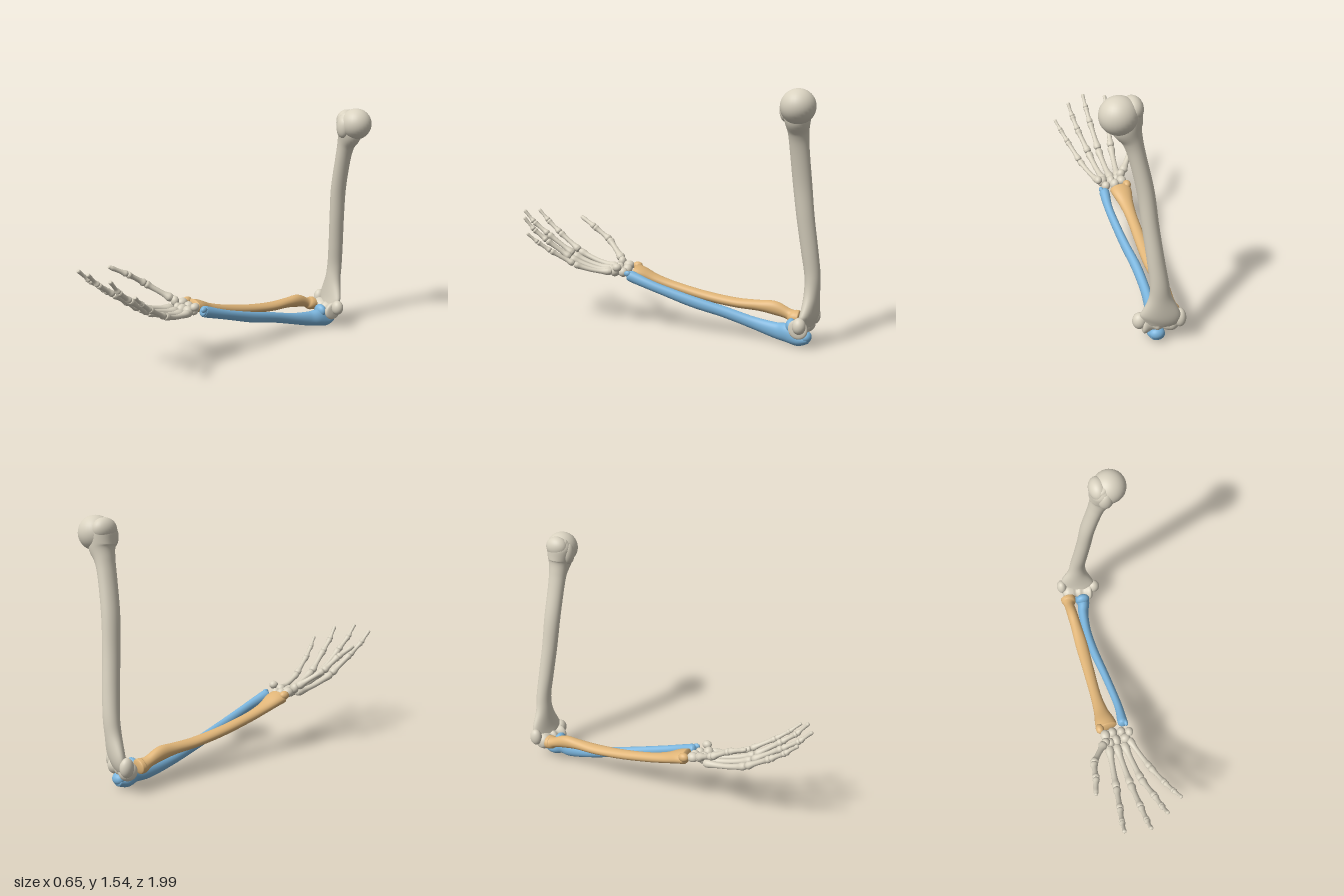
import * as THREE from 'three';

const V = (x, y, z) => new THREE.Vector3(x, y, z);

function material(name, color) {
  const m = new THREE.MeshStandardMaterial({ color });
  m.name = name;
  return m;
}

// Smooth loft through sections [x, y, z, halfWidth, halfDepth, roll], with domed ends
function loft(sections, ref, steps, sides, dome = 0.4) {
  const path = new THREE.CatmullRomCurve3(sections.map(s => V(s[0], s[1], s[2])), false, 'catmullrom');
  const size = new THREE.CatmullRomCurve3(sections.map(s => V(s[3], s[4], s[5] || 0)), false, 'catmullrom');
  const rings = [];
  const addRing = (u, shrink, push) => {
    const t = path.getTangent(u);
    const side = V().crossVectors(ref, t).normalize();
    const up = V().crossVectors(t, side);
    const s = size.getPoint(u);
    const c = path.getPoint(u).addScaledVector(t, push * dome * Math.min(s.x, s.y));
    rings.push({ c, side, up, a: s.x * shrink, b: s.y * shrink, roll: s.z });
  };
  const arc = [0.001, 0.35, 0.65, 0.87, 0.97];
  arc.forEach(r => addRing(0, r, -Math.sqrt(1 - r * r)));
  for (let i = 0; i <= steps; i++) addRing(i / steps, 1, 0);
  arc.slice().reverse().forEach(r => addRing(1, r, Math.sqrt(1 - r * r)));

  const pos = [], index = [];
  rings.forEach(({ c, side, up, a, b, roll }, i) => {
    const sx = side.clone().multiplyScalar(Math.cos(roll)).addScaledVector(up, Math.sin(roll));
    const sy = up.clone().multiplyScalar(Math.cos(roll)).addScaledVector(side, -Math.sin(roll));
    for (let j = 0; j < sides; j++) {
      const w = j / sides * Math.PI * 2;
      const p = c.clone().addScaledVector(sx, a * Math.cos(w)).addScaledVector(sy, b * Math.sin(w));
      pos.push(p.x, p.y, p.z);
      if (i < rings.length - 1) {
        const k = i * sides + j, n = i * sides + (j + 1) % sides;
        index.push(k, n, k + sides, n, n + sides, k + sides);
      }
    }
  });
  const g = new THREE.BufferGeometry();
  g.setAttribute('position', new THREE.Float32BufferAttribute(pos, 3));
  g.setIndex(index);
  g.computeVertexNormals();
  return g;
}

export function createModel() {
  const bone = material('ivory bone', 0xd9d2c0);
  const tan = material('tan bone', 0xe0b578);
  const blue = material('blue bone', 0x7ab4dc);
  const root = new THREE.Group();
  root.name = 'armSkeleton';
  const group = name => {
    const g = new THREE.Group();
    g.name = name;
    root.add(g);
    return g;
  };
  const add = (parent, name, geo, mat) => {
    const m = new THREE.Mesh(geo, mat);
    m.name = name;
    parent.add(m);
    return m;
  };
  const sphere = new THREE.SphereGeometry(1, 28, 20);
  const ball = (parent, name, mat, [x, y, z], [rx, ry, rz], tilt = 0) => {
    const m = add(parent, name, sphere, mat);
    m.position.set(x, y, z);
    m.scale.set(rx, ry, rz);
    m.rotation.z = tilt;
  };
  const Y = V(0, 1, 0), Z = V(0, 0, 1);

  // Upper arm bone: shaft flaring into a flat, turned lower end
  const upper = group('upperArm');
  add(upper, 'upperArmShaft', loft([
    [-0.005, 0.15, -0.915, 0.105, 0.035, -0.26],
    [-0.008, 0.22, -0.935, 0.112, 0.042, -0.26],
    [0.0, 0.34, -0.945, 0.065, 0.045, -0.2],
    [0.01, 0.45, -0.947, 0.052, 0.047, -0.1],
    [0.03, 0.6, -0.93, 0.048, 0.05],
    [0.055, 0.8, -0.905, 0.046, 0.052],
    [0.079, 1.0, -0.886, 0.046, 0.055],
    [0.122, 1.2, -0.872, 0.046, 0.056],
    [0.149, 1.3, -0.868, 0.055, 0.06],
    [0.178, 1.38, -0.866, 0.082, 0.075],
    [0.168, 1.46, -0.86, 0.072, 0.082],
    [0.158, 1.5, -0.86, 0.055, 0.062],
  ], Z, 80, 32), bone);
  ball(upper, 'shoulderHead', bone, [0.222, 1.446, -0.875], [0.102, 0.1, 0.1]);
  ball(upper, 'greaterTubercle', bone, [0.15, 1.47, -0.865], [0.056, 0.066, 0.075]);
  ball(upper, 'lesserTubercle', bone, [0.18, 1.425, -0.8], [0.045, 0.068, 0.036]);
  ball(upper, 'innerEpicondyle', bone, [0.1, 0.16, -0.89], [0.042, 0.05, 0.04]);
  ball(upper, 'outerEpicondyle', bone, [-0.122, 0.175, -0.94], [0.036, 0.058, 0.042]);

  // Spool-shaped elbow joint surface
  const spool = new THREE.SplineCurve([
    [0.001, -0.125], [0.036, -0.115], [0.054, -0.085], [0.05, -0.05], [0.04, -0.025],
    [0.05, 0], [0.043, 0.03], [0.06, 0.07], [0.05, 0.088], [0.001, 0.095],
  ].map(p => new THREE.Vector2(...p))).getPoints(50).map(p => p.setX(Math.max(p.x, 0.0005)));
  const joint = add(upper, 'elbowJoint', new THREE.LatheGeometry(spool, 36), bone);
  joint.position.set(-0.005, 0.132, -0.892);
  joint.quaternion.setFromUnitVectors(Y, V(0.98, -0.02, 0.18).normalize());

  // Blue forearm bone
  const ulna = group('innerForearm');
  add(ulna, 'innerForearmShaft', loft([
    [0, 0.058, -0.925, 0.042, 0.03],
    [0, 0.054, -0.87, 0.05, 0.044],
    [0, 0.082, -0.81, 0.043, 0.058],
    [-0.022, 0.085, -0.73, 0.036, 0.05],
    [-0.037, 0.115, -0.58, 0.03, 0.038],
    [-0.035, 0.165, -0.4, 0.03, 0.035],
    [-0.015, 0.217, -0.2, 0.027, 0.035],
    [0, 0.28, 0, 0.026, 0.031],
    [0.003, 0.313, 0.1, 0.027, 0.032],
    [-0.004, 0.347, 0.2, 0.033, 0.036],
    [-0.004, 0.354, 0.22, 0.029, 0.031],
  ], Y, 70, 28), blue);
  ball(ulna, 'elbowPoint', blue, [0.002, 0.07, -0.915], [0.045, 0.036, 0.036]);
  ball(ulna, 'coronoidRidge', blue, [0, 0.13, -0.825], [0.048, 0.044, 0.032]);
  ball(ulna, 'innerWristKnob', blue, [0.014, 0.368, 0.225], [0.014, 0.018, 0.022]);

  // Tan forearm bone
  const radius = group('outerForearm');
  add(radius, 'outerForearmShaft', loft([
    [-0.103, 0.155, -0.848, 0.052, 0.044],
    [-0.103, 0.158, -0.82, 0.05, 0.043],
    [-0.108, 0.172, -0.785, 0.036, 0.034],
    [-0.108, 0.2, -0.7, 0.037, 0.043],
    [-0.108, 0.207, -0.6, 0.037, 0.034],
    [-0.109, 0.212, -0.45, 0.042, 0.03],
    [-0.114, 0.237, -0.25, 0.038, 0.03],
    [-0.12, 0.278, -0.05, 0.036, 0.03],
    [-0.12, 0.315, 0.08, 0.046, 0.032],
    [-0.117, 0.35, 0.17, 0.066, 0.039],
    [-0.115, 0.362, 0.215, 0.07, 0.041],
  ], Y, 70, 28, 0.3), tan);
  ball(radius, 'outerWristKnob', tan, [-0.163, 0.382, 0.222], [0.027, 0.028, 0.034]);

  // Eight wrist bones: [x, y, z, rx, ry, rz]
  const hand = group('hand');
  [
    [-0.142, 0.388, 0.275, 0.032, 0.03, 0.036], [-0.09, 0.372, 0.265, 0.03, 0.034, 0.032],
    [-0.032, 0.364, 0.272, 0.028, 0.03, 0.03], [0.014, 0.402, 0.297, 0.026, 0.026, 0.03],
    [-0.152, 0.408, 0.325, 0.028, 0.032, 0.026], [-0.118, 0.375, 0.328, 0.024, 0.03, 0.028],
    [-0.078, 0.368, 0.322, 0.028, 0.036, 0.038], [-0.02, 0.372, 0.325, 0.034, 0.036, 0.032],
  ].forEach(c => ball(hand, 'wristBone', bone, c.slice(0, 3), c.slice(3), 0.3));

  // One finger bone: knobby ends, slim waist, optional downward sag
  const fingerBone = (name, p, q, r0, waist, r1, sag = 0) => {
    const a = V(...p), b = V(...q);
    const sec = [[0.04, r0 * 0.9], [0.12, r0], [0.3, waist * 1.1], [0.55, waist], [0.78, waist * 1.1], [0.9, r1], [0.96, r1 * 0.9]]
      .map(([t, r]) => {
        const c = a.clone().lerp(b, t);
        return [c.x, c.y - sag * 4 * t * (1 - t), c.z, r, r * 0.92];
      });
    add(hand, name, loft(sec, Y, 24, 16, 0.5), bone);
  };

  // Joint positions from the wrist to the fingertip
  const fingers = {
    thumb: [[-0.168, 0.42, 0.335], [-0.27, 0.522, 0.465], [-0.285, 0.598, 0.58], [-0.317, 0.66, 0.695]],
    index: [[-0.138, 0.372, 0.35], [-0.173, 0.455, 0.645], [-0.195, 0.563, 0.797], [-0.21, 0.636, 0.89], [-0.216, 0.708, 0.962]],
    middle: [[-0.09, 0.365, 0.35], [-0.08, 0.448, 0.645], [-0.07, 0.573, 0.822], [-0.065, 0.648, 0.922], [-0.06, 0.725, 0.99]],
    ring: [[-0.04, 0.363, 0.35], [-0.005, 0.44, 0.632], [0.034, 0.552, 0.78], [0.05, 0.62, 0.862], [0.065, 0.7, 0.925]],
    little: [[0.0, 0.372, 0.335], [0.075, 0.42, 0.57], [0.125, 0.505, 0.708], [0.155, 0.562, 0.782], [0.183, 0.62, 0.843]],
  };
  for (const [name, joints] of Object.entries(fingers)) {
    const k = name === 'little' ? 0.88 : 1;
    for (let i = 0; i < joints.length - 1; i++) {
      const last = i === joints.length - 2;
      const r = [0.029, 0.026, 0.022, 0.019][i] * k;
      fingerBone(name + (i ? 'Phalanx' : 'Metacarpal') + (i || ''), joints[i], joints[i + 1],
        r, [0.018, 0.0165, 0.0145, 0.011][i] * k, last ? 0.013 * k : r * 0.9, i || name === 'thumb' ? 0 : 0.016);
    }
  }
  return root;
}
